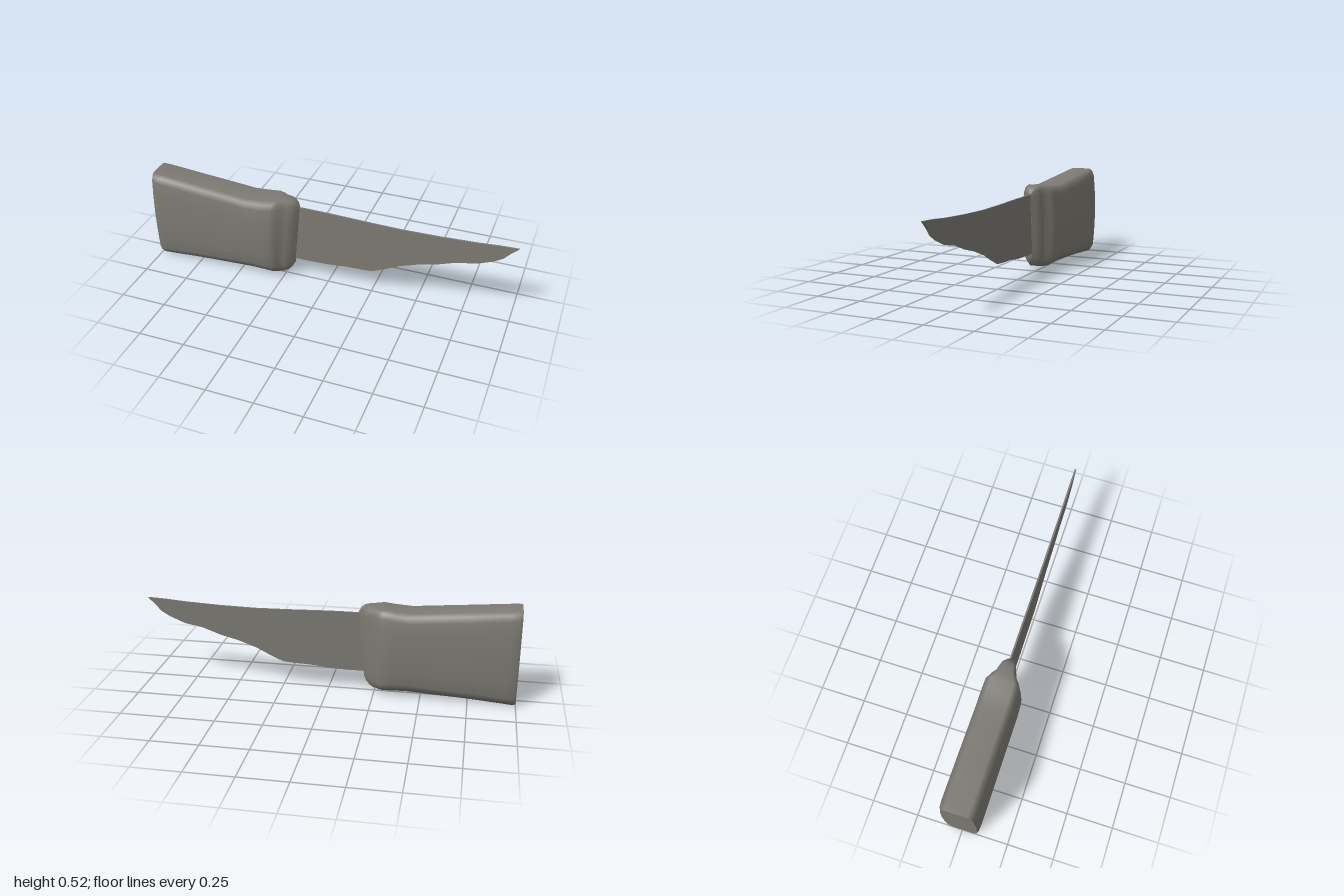
import * as THREE from 'three';

const steel = new THREE.MeshStandardMaterial({ color: 0x7c7a72 });
steel.name = 'warm grey';

// Rounded, slightly barrel-sided cross-section as a list of [y, z]
function ring(bottom, top, half) {
  const c = 0.045, h = top - bottom;
  const side = [
    [bottom, 0.58], [bottom + c * 0.45, 0.76], [bottom + c, 0.88], [bottom + h * 0.25, 0.95],
    [bottom + h * 0.5, 1], [top - h * 0.25, 0.95], [top - c, 0.88], [top - c * 0.35, 0.78], [top, 0.58],
  ].map(([y, f]) => [y, f * half]);
  return [...side, ...side.slice().reverse().map(([y, z]) => [y, -z])];
}

// Loft along x; each section is [x, bottom, top, half width, slant]
function loft(sections) {
  const pos = [], idx = [];
  const rings = sections.map(([x, b, t, w, slant]) =>
    ring(b, t, w).map(([y, z]) => [x + slant * (y - 0.26), y, z]));
  const n = rings[0].length;
  rings.forEach((r) => r.forEach((p) => pos.push(...p)));
  for (let i = 0; i < rings.length - 1; i++) {
    for (let j = 0; j < n; j++) {
      const a = i * n + j, d = i * n + (j + 1) % n;
      idx.push(a, a + n, d + n, a, d + n, d);
    }
  }
  // Flat end caps with their own vertices
  [[rings[0], false], [rings[rings.length - 1], true]].forEach(([r, front]) => {
    const o = pos.length / 3;
    r.forEach((p) => pos.push(...p));
    for (let j = 1; j < n - 1; j++) {
      idx.push(o, front ? o + j + 1 : o + j, front ? o + j : o + j + 1);
    }
  });
  const g = new THREE.BufferGeometry();
  g.setAttribute('position', new THREE.Float32BufferAttribute(pos, 3));
  g.setIndex(idx);
  g.computeVertexNormals();
  return g;
}

function add(group, name, geometry) {
  const mesh = new THREE.Mesh(geometry, steel);
  mesh.name = name;
  group.add(mesh);
}

export function createModel() {
  const model = new THREE.Group();
  model.name = 'knife';

  // Handle flaring to the butt, narrowing at the front into a slanted collar
  add(model, 'handle', loft([
    [-1, 0.004, 0.524, 0.092, 0],
    [-0.985, 0.0, 0.523, 0.1, 0],
    [-0.95, 0.004, 0.52, 0.104, 0],
    [-0.75, 0.02, 0.502, 0.105, 0],
    [-0.55, 0.03, 0.485, 0.105, 0],
    [-0.44, 0.036, 0.475, 0.105, 0],
    [-0.36, 0.035, 0.48, 0.105, 0],
    [-0.3, 0.031, 0.488, 0.102, 0.02],
    [-0.275, 0.03, 0.489, 0.085, 0.03],
    [-0.255, 0.03, 0.489, 0.062, 0.05],
    [-0.23, 0.032, 0.488, 0.052, 0.07],
    [-0.208, 0.042, 0.482, 0.042, 0.09],
    [-0.19, 0.058, 0.468, 0.022, 0.09],
    [-0.178, 0.085, 0.452, 0.008, 0.09],
  ]));

  // Thin blade with a nearly straight back and a wavy rising edge
  const outline = [
    [-0.24, 0.445], [0, 0.443], [0.2, 0.437], [0.4, 0.433], [0.6, 0.437], [0.8, 0.446],
    [0.9, 0.454], [1, 0.458], [0.96, 0.42], [0.93, 0.385], [0.88, 0.355], [0.8, 0.322],
    [0.7, 0.303], [0.6, 0.267], [0.5, 0.241], [0.4, 0.205], [0.32, 0.165], [0.25, 0.134],
    [0.2, 0.13], [0.1, 0.127], [0, 0.116], [-0.1, 0.112], [-0.24, 0.112],
  ];
  const shape = new THREE.Shape(outline.map(([x, y]) => new THREE.Vector2(x, y)));
  const blade = new THREE.ExtrudeGeometry(shape, { depth: 0.009, bevelEnabled: false });
  blade.translate(0, 0, -0.0065);
  add(model, 'blade', blade);

  return model;
}
